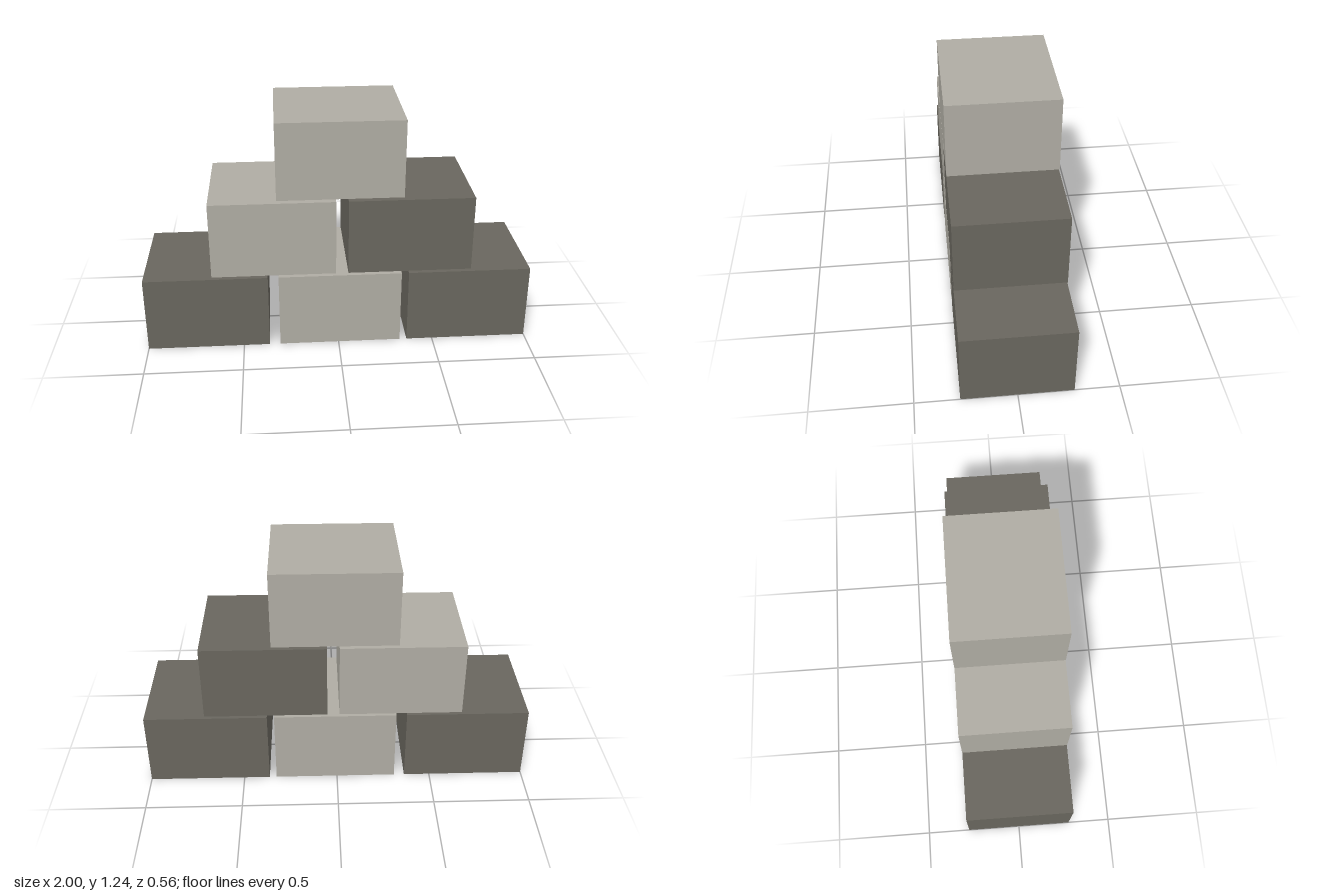
import * as THREE from 'three';

// Block size
const W = 0.636, H = 0.402, D = 0.555;

export function createModel() {
  const lightStone = new THREE.MeshStandardMaterial({ color: 0xafaca3 });
  lightStone.name = 'lightStone';
  const darkStone = new THREE.MeshStandardMaterial({ color: 0x69665e });
  darkStone.name = 'darkStone';

  // Courses from the ground up: base height, then [centre x, material] per block
  const courses = [
    { name: 'bottomBlock', y: 0, blocks: [[-0.682, darkStone], [0.009, lightStone], [0.682, darkStone]] },
    { name: 'middleBlock', y: 0.416, blocks: [[-0.331, lightStone], [0.368, darkStone]] },
    { name: 'topBlock', y: 0.833, blocks: [[0.009, lightStone]] },
  ];

  const group = new THREE.Group();
  group.name = 'stackedBlocks';
  const geometry = new THREE.BoxGeometry(W, H, D);
  for (const { name, y, blocks } of courses) {
    blocks.forEach(([x, material], i) => {
      const block = new THREE.Mesh(geometry, material);
      block.name = blocks.length > 1 ? `${name}${i + 1}` : name;
      block.position.set(x, y + H / 2, 0);
      group.add(block);
    });
  }
  return group;
}
